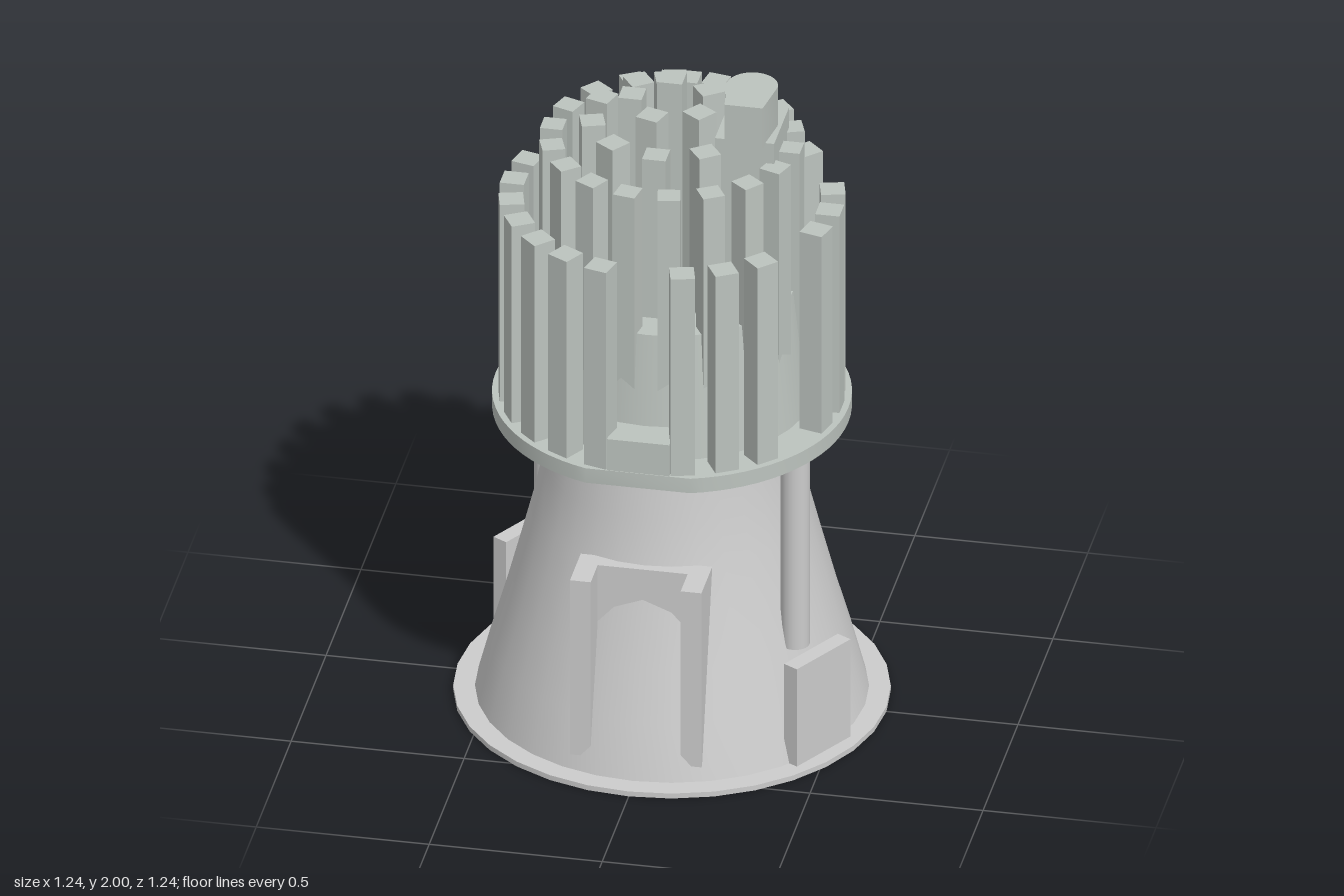
import * as THREE from 'three';
import { toCreasedNormals } from 'three/addons/utils/BufferGeometryUtils.js';

const grey = new THREE.MeshStandardMaterial({ color: 0xcccccc });
const alloy = new THREE.MeshStandardMaterial({ color: 0xbcc3be });
const SEG = 32;
const rad = THREE.MathUtils.degToRad;

function add(parent, name, geo, mat, x = 0, y = 0, z = 0) {
  const mesh = new THREE.Mesh(geo, mat);
  mesh.name = name;
  mesh.position.set(x, y, z);
  parent.add(mesh);
  return mesh;
}

// Box given by its limits on each axis
function boxBetween(parent, name, mat, [x0, x1], [y0, y1], [z0, z1]) {
  return add(parent, name, new THREE.BoxGeometry(x1 - x0, y1 - y0, z1 - z0), mat,
    (x0 + x1) / 2, (y0 + y1) / 2, (z0 + z1) / 2);
}

// Lathe from [radius, height] pairs, up the outside and down the inside
function turned(points) {
  const geo = new THREE.LatheGeometry(points.map(p => new THREE.Vector2(...p)), SEG);
  return toCreasedNormals(geo, 0.5);
}

// Extrude a plan outline (x, z) upward from y0 to y1
function extrudeUp(shape, height) {
  const geo = new THREE.ExtrudeGeometry(shape, { depth: height, bevelEnabled: false, curveSegments: 16 });
  geo.rotateX(-Math.PI / 2);
  return toCreasedNormals(geo, 0.5);
}

// Ring of square pins at the given angles, each turned to face outward
function pinRing(parent, name, angles, radius, y0, y1, size = 0.068) {
  const ring = new THREE.Group();
  ring.name = name;
  const geo = new THREE.BoxGeometry(size, y1 - y0, size);
  for (const deg of angles) {
    const a = rad(deg);
    const pin = add(ring, 'pin', geo, alloy, radius * Math.cos(a), (y0 + y1) / 2, radius * Math.sin(a));
    pin.rotation.y = -a;
  }
  parent.add(ring);
}

const steps = (count, start = 0, skip = []) =>
  Array.from({ length: count }, (_, i) => start + i * 360 / count).filter(a => !skip.includes(a));

export function createModel() {
  const model = new THREE.Group();
  model.name = 'recessedDownlight';

  // Flange and hollow reflector
  add(model, 'flange', turned([
    [0.535, 0], [0.62, 0], [0.62, 0.016], [0.535, 0.016], [0.535, 0]]), grey);
  add(model, 'reflector', turned([
    [0.535, 0], [0.56, 0.01], [0.515, 0.18], [0.472, 0.33], [0.43, 0.49], [0.397, 0.62], [0.367, 0.76],
    [0.35, 0.88], [0, 0.88], [0, 0.86], [0.32, 0.86], [0.34, 0.74], [0.37, 0.61],
    [0.405, 0.47], [0.445, 0.32], [0.49, 0.17], [0.535, 0]]), grey);
  add(model, 'neck', new THREE.CylinderGeometry(0.33, 0.33, 0.04, SEG), grey, 0, 0.9, 0);
  add(model, 'collar', new THREE.CylinderGeometry(0.41, 0.41, 0.016, SEG), grey, 0, 0.925, 0);

  // Paired ribs with a bridge between them, front and back
  for (const side of [1, -1]) {
    const bracket = new THREE.Group();
    bracket.name = side > 0 ? 'frontBracket' : 'backBracket';
    for (const s of [1, -1]) {
      boxBetween(bracket, 'rib', grey, s > 0 ? [0.13, 0.19] : [-0.19, -0.13], [0.06, 0.628], [0.365, 0.52])
        .scale.y = 1;
    }
    boxBetween(bracket, 'bridge', grey, [-0.13, 0.13], [0.4, 0.628], [0.37, 0.42]);
    // Cut each box to a wedge that follows the slope of the reflector
    bracket.children.forEach(part => {
      const pos = part.geometry.attributes.position;
      for (let i = 0; i < pos.count; i++) {
        if (pos.getY(i) < 0) {
          const front = part.position.z + pos.getZ(i) > 0.4;
          if (!front) pos.setZ(i, (part.name === 'rib' ? 0.51 : 0.41) - part.position.z);
        }
      }
      part.geometry.computeVertexNormals();
    });
    bracket.rotation.y = side > 0 ? 0 : Math.PI;
    model.add(bracket);
  }

  // Diagonal posts and the upright plates at their feet
  for (const deg of [30, 210]) {
    const mount = new THREE.Group();
    mount.name = 'mount';
    add(mount, 'post', new THREE.CylinderGeometry(0.042, 0.042, 0.61, 20), grey, 0.465, 0.635, 0);
    boxBetween(mount, 'footPlate', grey, [0.525, 0.573], [0.014, 0.333], [-0.115, 0.115]);
    mount.rotation.y = -rad(deg);
    model.add(mount);
  }

  // Heat sink plate with flats at front and back
  const sink = new THREE.Group();
  sink.name = 'heatSink';
  model.add(sink);
  const flat = Math.asin(0.487 / 0.51);
  const plate = new THREE.Shape();
  plate.absarc(0, 0, 0.51, -flat, flat, false);
  plate.absarc(0, 0, 0.51, Math.PI - flat, Math.PI + flat, false);
  add(sink, 'plate', extrudeUp(plate, 0.047), alloy, 0, 0.932, 0);

  // Tapered core and the low blocks between the end pins
  add(sink, 'core', new THREE.CylinderGeometry(0.36, 0.402, 0.385, SEG), alloy, 0, 1.1675, 0);
  boxBetween(sink, 'frontBlock', alloy, [-0.09, 0.09], [0.975, 1.08], [0.37, 0.485]);
  boxBetween(sink, 'backBlock', alloy, [-0.09, 0.09], [0.975, 1.08], [-0.485, -0.37]);

  // Concentric pins, taller toward the middle
  pinRing(sink, 'outerPins', steps(24, 0, [30, 90, 210, 270, 330]), 0.456, 0.975, 1.62, 0.07);
  pinRing(sink, 'secondPins', steps(18), 0.343, 0.98, 1.81, 0.065);
  pinRing(sink, 'thirdPins', steps(10, 18, [18, 342]), 0.227, 1.355, 1.875);
  pinRing(sink, 'fourthPins', steps(5, 36), 0.115, 1.355, 1.935);
  pinRing(sink, 'centrePin', [0], 0, 1.355, 2, 0.072);

  // Cable entry block with a round-backed cap
  boxBetween(sink, 'entryBlock', alloy, [0.145, 0.316], [1.355, 1.875], [-0.107, 0.103]);
  const cap = new THREE.Shape();
  cap.moveTo(-0.055, -0.125);
  cap.lineTo(0.055, -0.125);
  cap.lineTo(0.073, 0);
  cap.absarc(0, 0, 0.073, 0, Math.PI, false);
  cap.closePath();
  add(sink, 'entryCap', extrudeUp(cap, 0.13), alloy, 0.232, 1.87, 0);

  return model;
}
